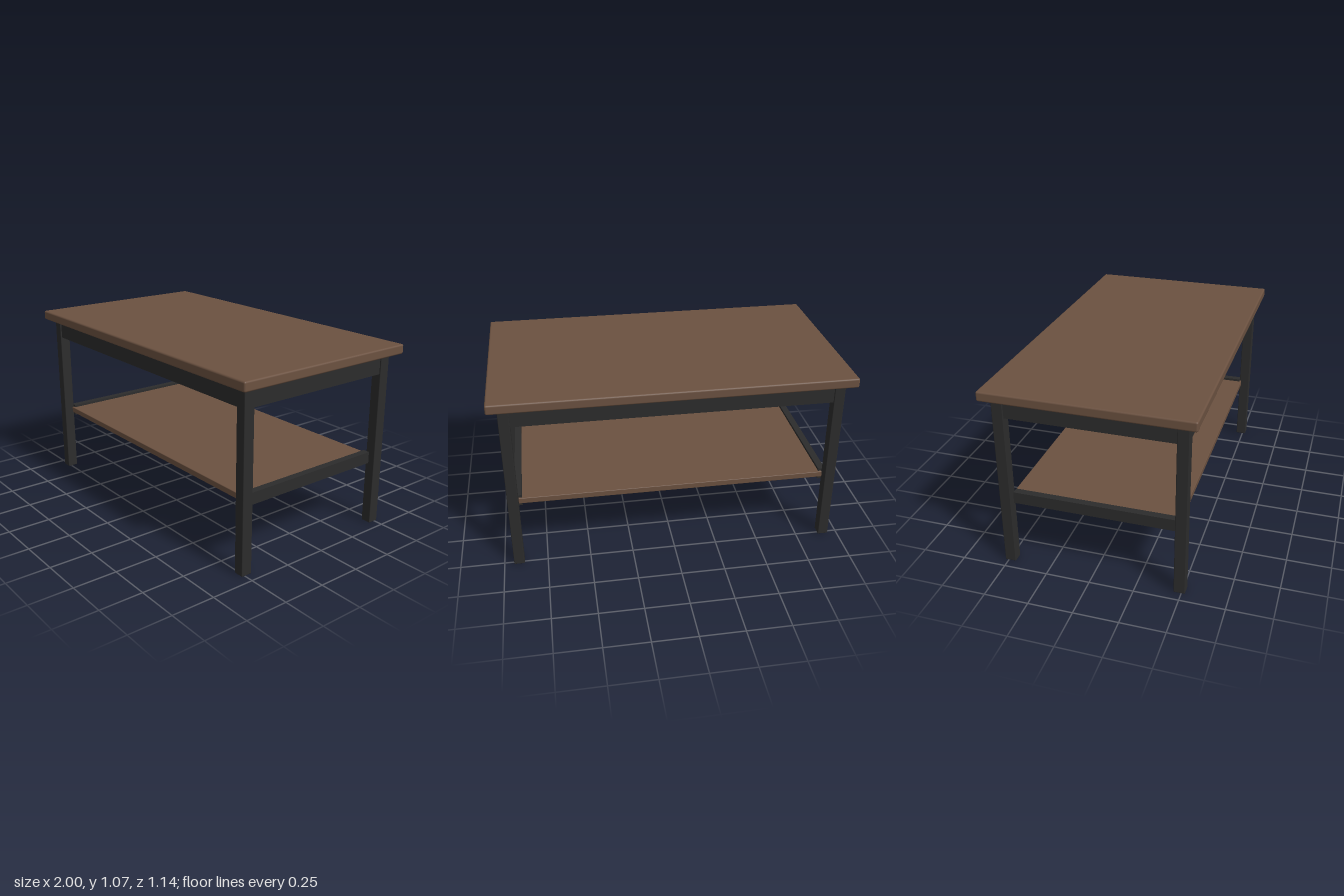
import * as THREE from 'three';
import { RoundedBoxGeometry } from 'three/addons/geometries/RoundedBoxGeometry.js';

export function createModel() {
  const table = new THREE.Group();
  table.name = 'coffeeTable';

  const wood = new THREE.MeshStandardMaterial({ color: 0x6b5140 });
  wood.name = 'brown wood';
  const metal = new THREE.MeshStandardMaterial({ color: 0x2c2c2c });
  metal.name = 'black metal';

  // Box given by its extents on each axis, with softly rounded edges if r > 0
  function slab(name, material, [x0, x1], [y0, y1], [z0, z1], r = 0) {
    const size = [x1 - x0, y1 - y0, z1 - z0];
    const geometry = r > 0
      ? new RoundedBoxGeometry(...size, 3, r)
      : new THREE.BoxGeometry(...size);
    const mesh = new THREE.Mesh(geometry, material);
    mesh.name = name;
    mesh.position.set((x0 + x1) / 2, (y0 + y1) / 2, (z0 + z1) / 2);
    table.add(mesh);
  }

  // Extent on one side of the centre, mirrored by sign
  const side = (s, inner, outer) => (s > 0 ? [inner, outer] : [-outer, -inner]);

  const legX = [0.885, 0.945];
  const legZ = [0.457, 0.52];

  // Wooden top and lower shelf
  slab('tableTop', wood, [-1, 1], [1.015, 1.07], [-0.57, 0.57], 0.01);
  slab('shelf', wood, [-legX[0], legX[0]], [0.385, 0.42], [-0.468, 0.468], 0.004);

  for (const s of [1, -1]) {
    const name = s > 0 ? 'left' : 'right';

    // Square legs at the four corners
    for (const t of [1, -1]) {
      slab(name + (t > 0 ? 'Front' : 'Back') + 'Leg', metal,
        side(s, ...legX), [0, 1.015], side(t, ...legZ), 0.004);
    }

    // Short apron and shelf rail between the legs of one end
    slab(name + 'Apron', metal, side(s, 0.897, 0.937), [0.905, 1], [-legZ[0], legZ[0]]);
    slab(name + 'ShelfRail', metal, side(s, 0.865, 0.905), [0.367, 0.435], [-legZ[0], legZ[0]]);

    // Long apron along the front and back
    slab(s > 0 ? 'frontApron' : 'backApron', metal,
      [-legX[0], legX[0]], [0.905, 1], side(s, 0.472, 0.512));
  }

  return table;
}
